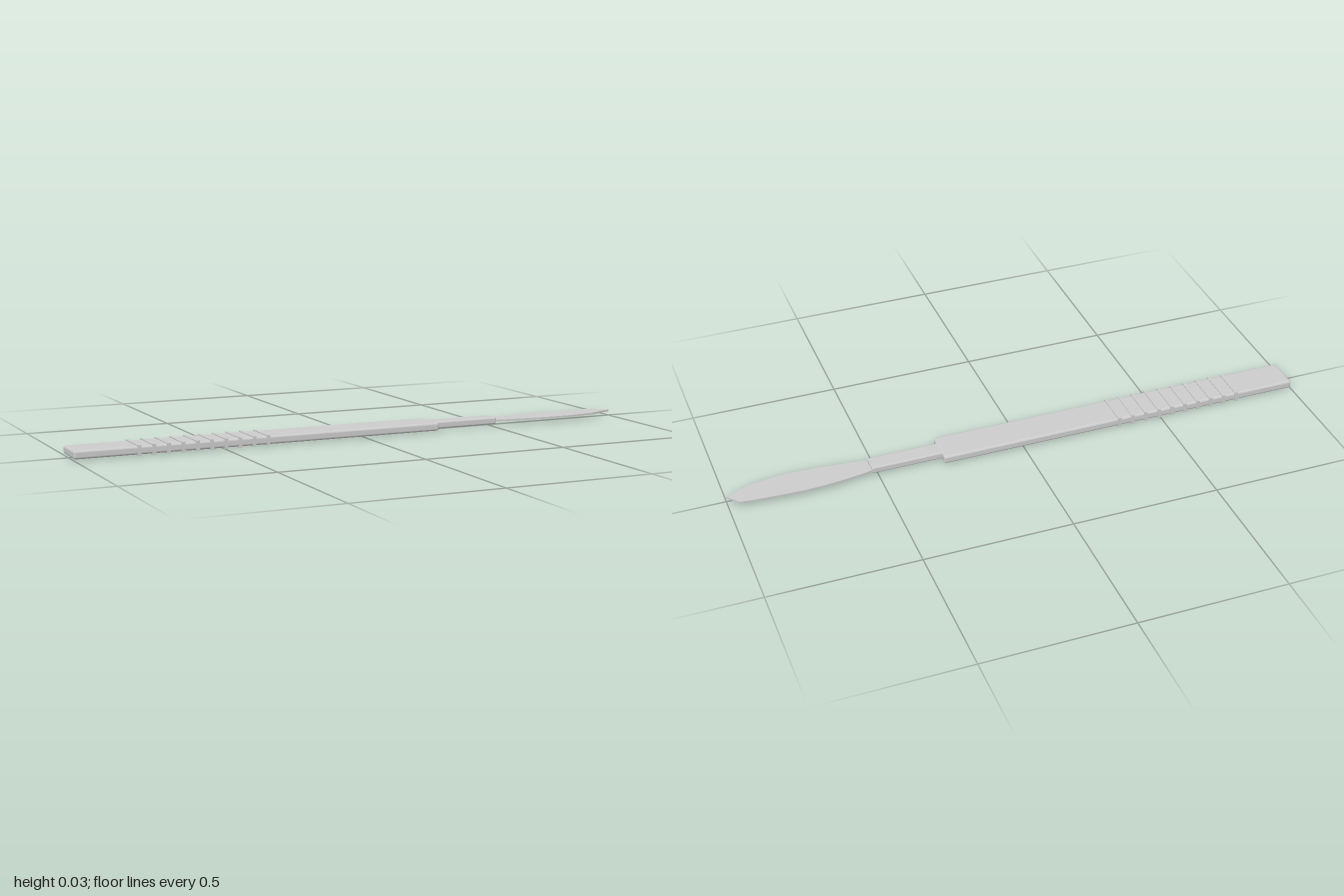
import * as THREE from 'three';
import { RoundedBoxGeometry } from 'three/addons/geometries/RoundedBoxGeometry.js';

const MID_Y = 0.017;

export function createModel() {
  const group = new THREE.Group();
  const material = new THREE.MeshStandardMaterial({ color: 0xcccccc });

  const add = (name, geometry, x) => {
    const mesh = new THREE.Mesh(geometry, material);
    mesh.name = name;
    mesh.position.set(x, MID_Y, 0);
    group.add(mesh);
    return mesh;
  };

  // Flat bar with softened edges, spanning x0..x1
  const bar = (name, x0, x1, height, depth, radius) =>
    add(name, new RoundedBoxGeometry(x1 - x0, height, depth, 3, radius), (x0 + x1) / 2);

  bar('handle', -1, 0.28, 0.028, 0.12, 0.008);
  bar('neck', 0.26, 0.52, 0.024, 0.06, 0.006);

  // Ten square grip ridges wrapped around the handle
  const ridge = new THREE.BoxGeometry(0.012, 0.034, 0.124);
  for (let i = 0; i < 10; i++) add('gripRidge', ridge, -0.787 + i * 0.0488);

  // Thin leaf-shaped blade: outline drawn as (x, -z), then laid flat
  const outline = new THREE.Shape();
  outline.moveTo(0.5, 0.027);
  outline.lineTo(0.52, 0.03);
  outline.quadraticCurveTo(0.64, 0.053, 0.74, 0.055);
  outline.quadraticCurveTo(0.87, 0.053, 0.965, 0.042);
  outline.lineTo(1, 0);
  outline.lineTo(0.91, -0.037);
  outline.quadraticCurveTo(0.84, -0.05, 0.77, -0.052);
  outline.quadraticCurveTo(0.67, -0.05, 0.52, -0.03);
  outline.lineTo(0.5, -0.027);
  outline.closePath();
  const thickness = 0.006;
  const blade = new THREE.ExtrudeGeometry(outline, {
    depth: thickness, bevelEnabled: false, curveSegments: 6,
  });
  blade.translate(0, 0, -thickness / 2).rotateX(-Math.PI / 2);
  add('blade', blade, 0);

  return group;
}
